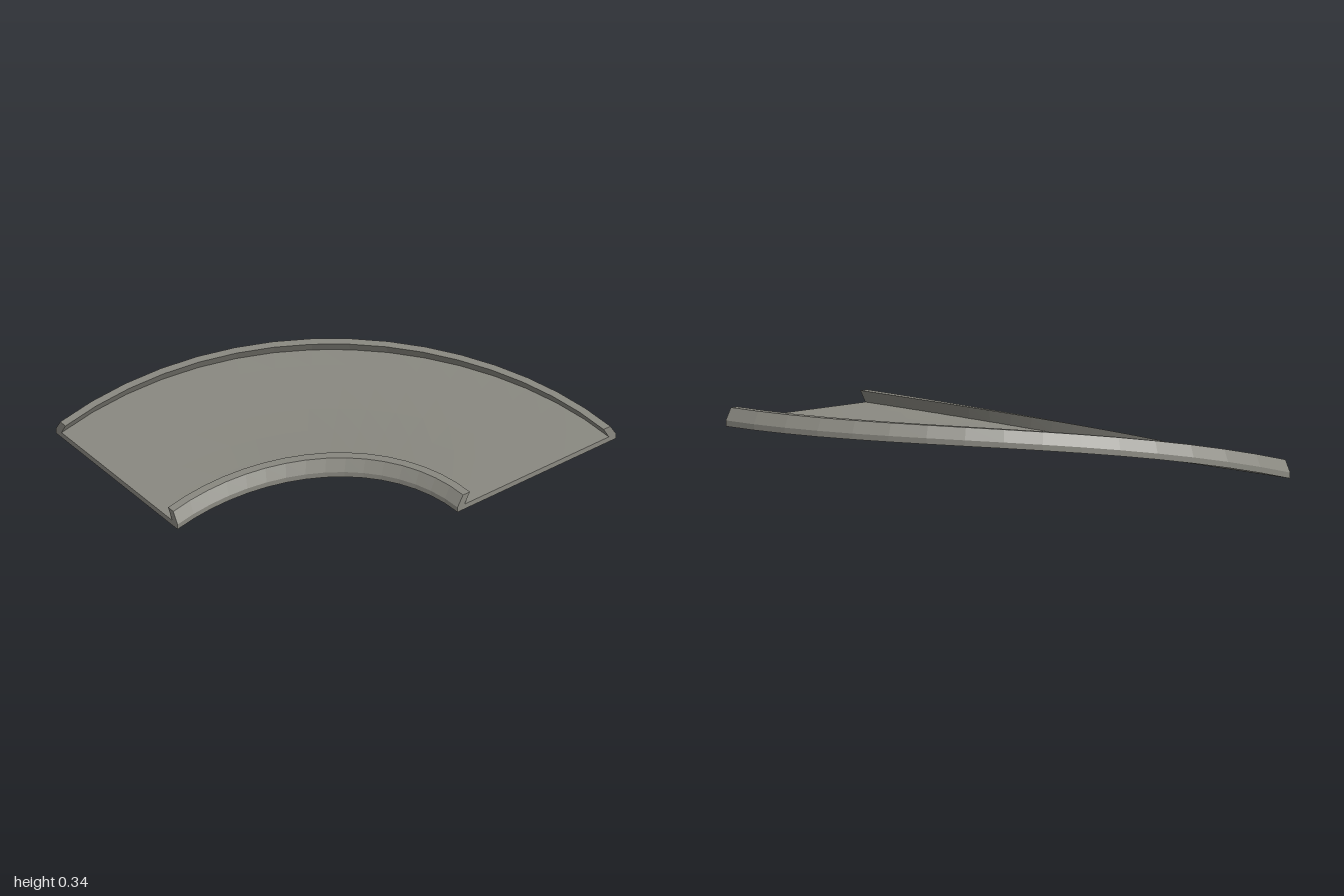
import * as THREE from 'three';

const STEPS = 16;

// Point on the climbing quarter bend: inner edge rises evenly, outer edge eases out
function place(r, h, t) {
  const a = t * Math.PI / 2, s = Math.sin(a);
  const rise = 0.25 * (r * s - (r - 1) * s * s);
  return [-1 + r * s, rise + h, 1 - r * Math.cos(a)];
}

// Sweep a counter-clockwise (radius, height) profile around the bend, with end caps
function sweep(profile) {
  const pos = [];
  const put = (p, t) => pos.push(...place(p[0], p[1], t));
  for (let k = 0; k < STEPS; k++) {
    const t0 = k / STEPS, t1 = (k + 1) / STEPS;
    profile.forEach((p, i) => {
      const q = profile[(i + 1) % profile.length];
      put(p, t0); put(q, t0); put(q, t1);
      put(p, t0); put(q, t1); put(p, t1);
    });
  }
  const flat = profile.map(([r, h]) => new THREE.Vector2(r, h));
  for (const [a, b, c] of THREE.ShapeUtils.triangulateShape(flat, [])) {
    [a, b, c].forEach((i) => put(profile[i], 1));
    [c, b, a].forEach((i) => put(profile[i], 0));
  }
  const geo = new THREE.BufferGeometry();
  geo.setAttribute('position', new THREE.Float32BufferAttribute(pos, 3));
  geo.computeVertexNormals();
  return geo;
}

export function createModel() {
  const group = new THREE.Group();
  group.name = 'curvedRampTrack';
  const grey = new THREE.MeshStandardMaterial({ color: 0x8a8981 });
  grey.name = 'warm grey';

  const add = (name, profile) => {
    const mesh = new THREE.Mesh(sweep(profile), grey);
    mesh.name = name;
    group.add(mesh);
  };

  // Road slab, divided across its width to follow the twist
  const slab = [];
  const cuts = 6, thick = 0.03;
  for (let i = 0; i <= cuts; i++) slab.push([1 + i / cuts, 0]);
  for (let i = cuts; i >= 0; i--) slab.push([1 + i / cuts, thick]);
  add('roadSlab', slab);

  // Side rails lean inward over the road
  const rail = [[1.955, thick], [2, thick], [1.965, 0.092], [1.922, 0.092]];
  add('outerRail', rail);
  add('innerRail', rail.map(([r, h]) => [3 - r, h]).reverse());

  return group;
}
